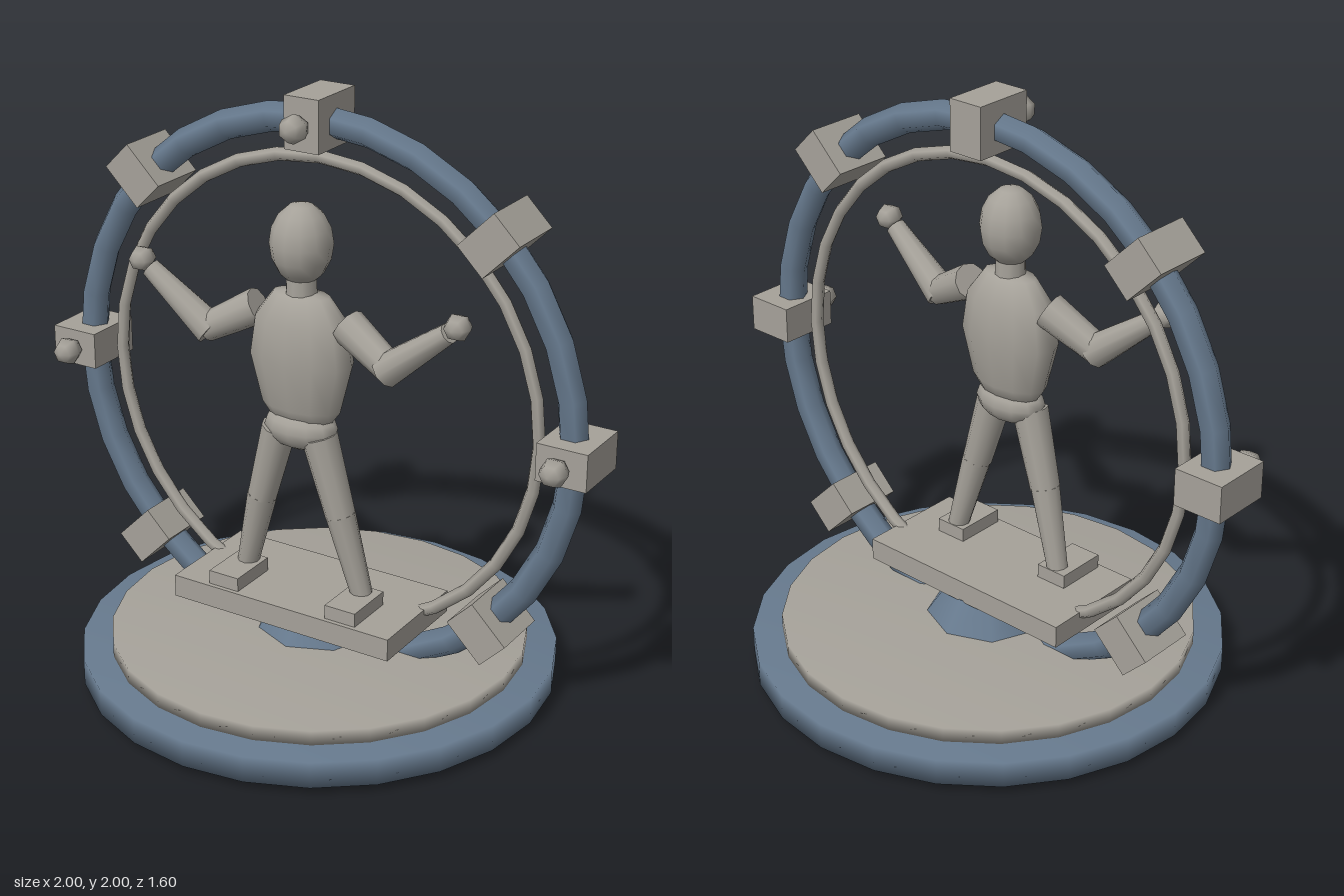
import * as THREE from 'three';
import { mergeVertices } from 'three/addons/utils/BufferGeometryUtils.js';

export function createModel() {
  const model = new THREE.Group();
  const grey = new THREE.MeshStandardMaterial({ color: 0xa5a199 });
  grey.name = 'warm grey';
  const blue = new THREE.MeshStandardMaterial({ color: 0x66798d });
  blue.name = 'slate blue';

  const add = (name, geometry, material, x = 0, y = 0, z = 0) => {
    const mesh = new THREE.Mesh(geometry, material);
    mesh.name = name;
    mesh.position.set(x, y, z);
    model.add(mesh);
    return mesh;
  };
  // Blend the normals over the rim of a shape
  const smooth = (geometry) => {
    geometry.deleteAttribute('normal');
    geometry.deleteAttribute('uv');
    const merged = mergeVertices(geometry);
    merged.computeVertexNormals();
    return merged;
  };
  // Tapered limb between two points
  const limb = (name, a, b, ra, rb) => {
    const from = new THREE.Vector3(...a), to = new THREE.Vector3(...b);
    const dir = to.clone().sub(from);
    const mesh = add(name, new THREE.CylinderGeometry(rb, ra, dir.length(), 10), grey);
    mesh.position.copy(from).add(to).multiplyScalar(0.5);
    mesh.quaternion.setFromUnitVectors(new THREE.Vector3(0, 1, 0), dir.normalize());
  };
  const ball = (name, r, x, y, z) =>
    add(name, new THREE.SphereGeometry(r, 6, 4).rotateX(Math.PI / 2), grey, x, y, z);
  const ellipsoid = (name, rx, ry, rz, x, y, z) =>
    add(name, new THREE.SphereGeometry(1, 12, 8).scale(rx, ry, rz), grey, x, y, z);

  // Round base
  add('baseDisc', smooth(new THREE.CylinderGeometry(0.8, 0.8, 0.09, 24)), blue, 0, 0.07, 0);
  add('baseTopDisc', smooth(new THREE.CylinderGeometry(0.7, 0.7, 0.05, 24)), grey, 0, 0.14, 0);
  add('hub', new THREE.CylinderGeometry(0.14, 0.21, 0.1, 8), blue, 0, 0.213, 0);

  // Upright rings
  add('outerRing', new THREE.TorusGeometry(0.91, 0.049, 6, 32), blue, 0, 1, 0);
  add('innerRing', new THREE.TorusGeometry(0.79, 0.022, 6, 32), grey, 0, 1, 0);

  // Eight blocks clamped around the outer ring
  for (let i = 0; i < 8; i++) {
    const a = (i * Math.PI) / 4;
    const block = add('ringBlock', new THREE.BoxGeometry(0.17, 0.124, 0.21), grey,
      0.915 * Math.cos(a), 1 + 0.915 * Math.sin(a), 0);
    block.rotation.z = a;
  }
  // Knobs on the top and side blocks
  for (let i = 0; i < 3; i++) {
    const a = (i * Math.PI) / 2;
    const knob = ball('knob', 0.048, 0.912 * Math.cos(a), 1 + 0.912 * Math.sin(a), 0.147);
    knob.rotation.z = a;
  }

  // Standing platform
  add('platform', new THREE.BoxGeometry(0.825, 0.077, 0.39), grey, 0, 0.296, 0.058);

  // Figure: head, neck, torso and pelvis
  ellipsoid('head', 0.102, 0.133, 0.1, 0, 1.54, 0.105);
  add('neck', new THREE.CylinderGeometry(0.048, 0.052, 0.08, 10), grey, 0, 1.4, 0.105);
  const profile = [[0, 0.93], [0.1, 0.94], [0.143, 1.0], [0.185, 1.16], [0.165, 1.29], [0.1, 1.375], [0, 1.388]];
  const torso = new THREE.LatheGeometry(profile.map(([r, y]) => new THREE.Vector2(r, y)), 12);
  add('torso', torso.scale(1, 1, 0.57), grey, 0, 0, 0.105);
  ellipsoid('pelvis', 0.13, 0.075, 0.085, 0, 0.925, 0.11);

  // Arms and legs, mirrored
  for (const s of [1, -1]) {
    const shoulder = [s * 0.165, 1.3, 0.1];
    const elbow = [s * 0.345, 1.2, 0.135];
    limb('upperArm', shoulder, elbow, 0.06, 0.048);
    limb('forearm', [s * 0.325, 1.195, 0.135], [s * 0.55, 1.37, 0.15], 0.056, 0.033);
    ball('hand', 0.045, s * 0.58, 1.395, 0.152);

    limb('thigh', [s * 0.075, 0.91, 0.12], [s * 0.15, 0.645, 0.112], 0.06, 0.05);
    limb('shin', [s * 0.15, 0.65, 0.112], [s * 0.222, 0.375, 0.095], 0.05, 0.036);
    add('foot', new THREE.BoxGeometry(0.113, 0.05, 0.18), grey, s * 0.225, 0.357, 0.148);
  }
  return model;
}
